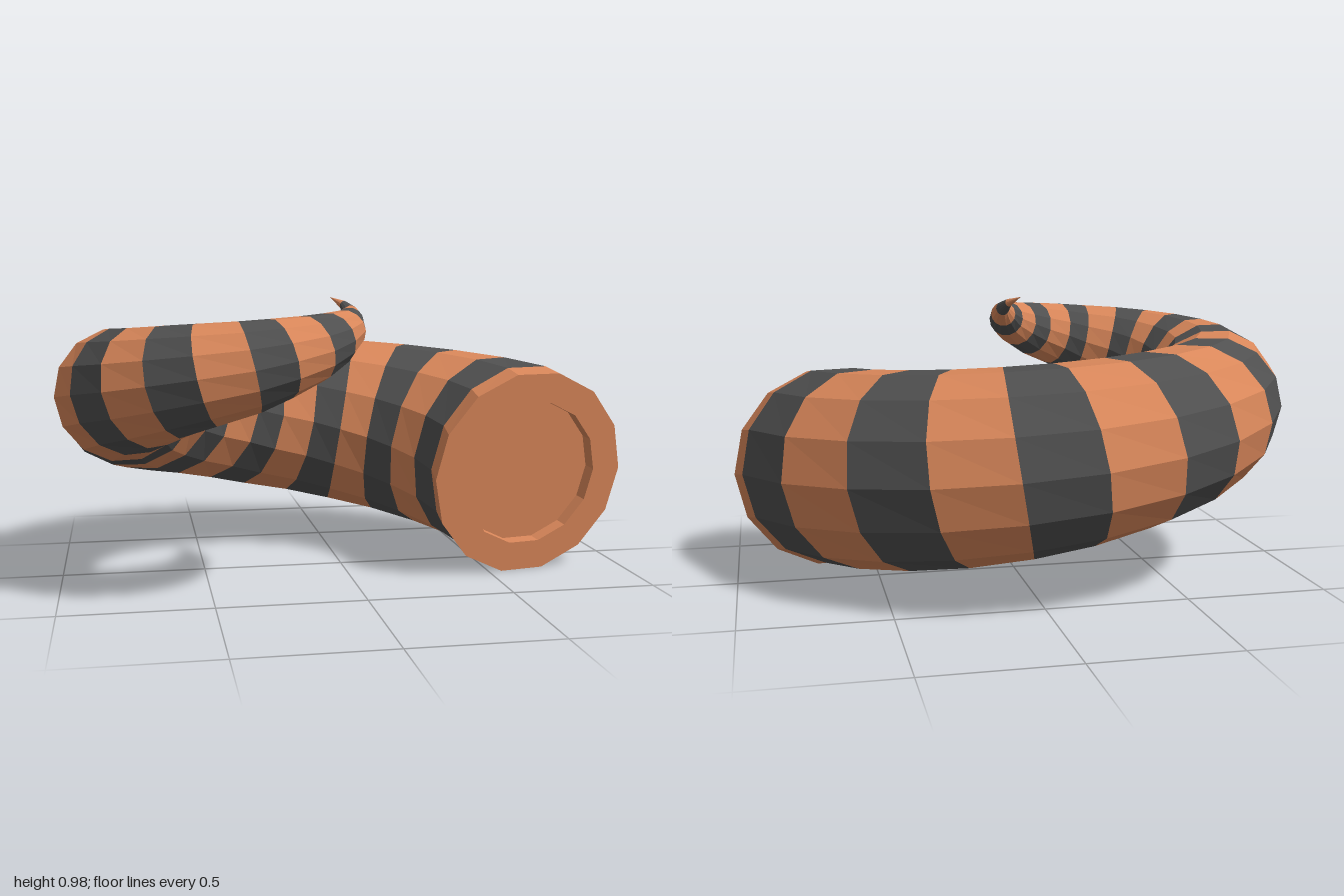
import * as THREE from 'three';

const SIDES = 14;
// Outer edge of the spiral seen from above (x, z), one point per stripe boundary
const EDGE = [
  [1.0, 0.18], [0.97, 0.05], [0.84, -0.24], [0.64, -0.48], [0.4, -0.65],
  [0.13, -0.74], [-0.14, -0.76], [-0.41, -0.7], [-0.63, -0.59], [-0.82, -0.42],
  [-0.94, -0.23], [-1.0, -0.01], [-1.0, 0.2], [-0.94, 0.38], [-0.84, 0.55],
  [-0.71, 0.66], [-0.56, 0.73], [-0.39, 0.75], [-0.26, 0.73], [-0.14, 0.67],
  [-0.06, 0.59], [-0.01, 0.5], [0.003, 0.4], [-0.005, 0.34], [-0.03, 0.285],
  [-0.08, 0.24],
];
const LAST = EDGE.length - 1;

// Centre, radius and axes of cross-section i
function section(i) {
  const heading = THREE.MathUtils.degToRad(i === 0 ? 11 : 16 * i);
  const radius = i === LAST ? 0 : Math.max(0.015, 0.37 - 0.0085 * i - 0.00028 * i * i);
  const out = new THREE.Vector3(Math.cos(heading), 0, -Math.sin(heading));
  const along = new THREE.Vector3(-Math.sin(heading), 0.13 + 0.006 * i, -Math.cos(heading)).normalize();
  const up = out.clone().cross(along);
  const [x, z] = EDGE[i];
  const centre = new THREE.Vector3(x, 0.363 + 0.025 * i, z).addScaledVector(out, -radius);
  return { centre, radius, out, up, along };
}

// Polygon of points for a section, optionally resized and pushed along the horn
function ring(s, radius = s.radius, push = 0) {
  return Array.from({ length: SIDES }, (_, k) => {
    const a = (k / SIDES) * Math.PI * 2;
    return s.centre.clone()
      .addScaledVector(s.along, push)
      .addScaledVector(s.out, radius * Math.cos(a))
      .addScaledVector(s.up, radius * Math.sin(a));
  });
}

// Faceted strip of quads joining two rings
function strip(a, b) {
  const points = [];
  for (let k = 0; k < SIDES; k++) {
    const n = (k + 1) % SIDES;
    for (const tri of [[a[k], b[k], a[n]], [a[n], b[k], b[n]]]) {
      const area = new THREE.Triangle(...tri).getArea();
      if (area > 1e-9) points.push(...tri); // skip collapsed triangles at a tip
    }
  }
  const geometry = new THREE.BufferGeometry().setFromPoints(points);
  geometry.computeVertexNormals();
  return geometry;
}

export function createModel() {
  const orange = new THREE.MeshStandardMaterial({ color: 0xd9875a });
  orange.name = 'orange';
  const charcoal = new THREE.MeshStandardMaterial({ color: 0x505050 });
  charcoal.name = 'charcoal';

  const horn = new THREE.Group();
  horn.name = 'horn';
  const add = (name, a, b, material) => {
    const mesh = new THREE.Mesh(strip(a, b), material);
    mesh.name = name;
    horn.add(mesh);
  };

  // Alternating stripes from base to tip
  const sections = EDGE.map((_, i) => section(i));
  for (let i = 0; i < LAST; i++) {
    const name = i === LAST - 1 ? 'tip' : `stripe${i + 1}`;
    add(name, ring(sections[i]), ring(sections[i + 1]), i % 2 ? charcoal : orange);
  }

  // Base with a shallow round recess
  const base = sections[0];
  const lip = ring(base, 0.262);
  const floor = ring(base, 0.262, 0.05);
  add('baseRim', lip, ring(base), orange);
  add('recessWall', floor, lip, orange);
  add('recessFloor', ring(base, 0, 0.05), floor, orange);

  return horn;
}
